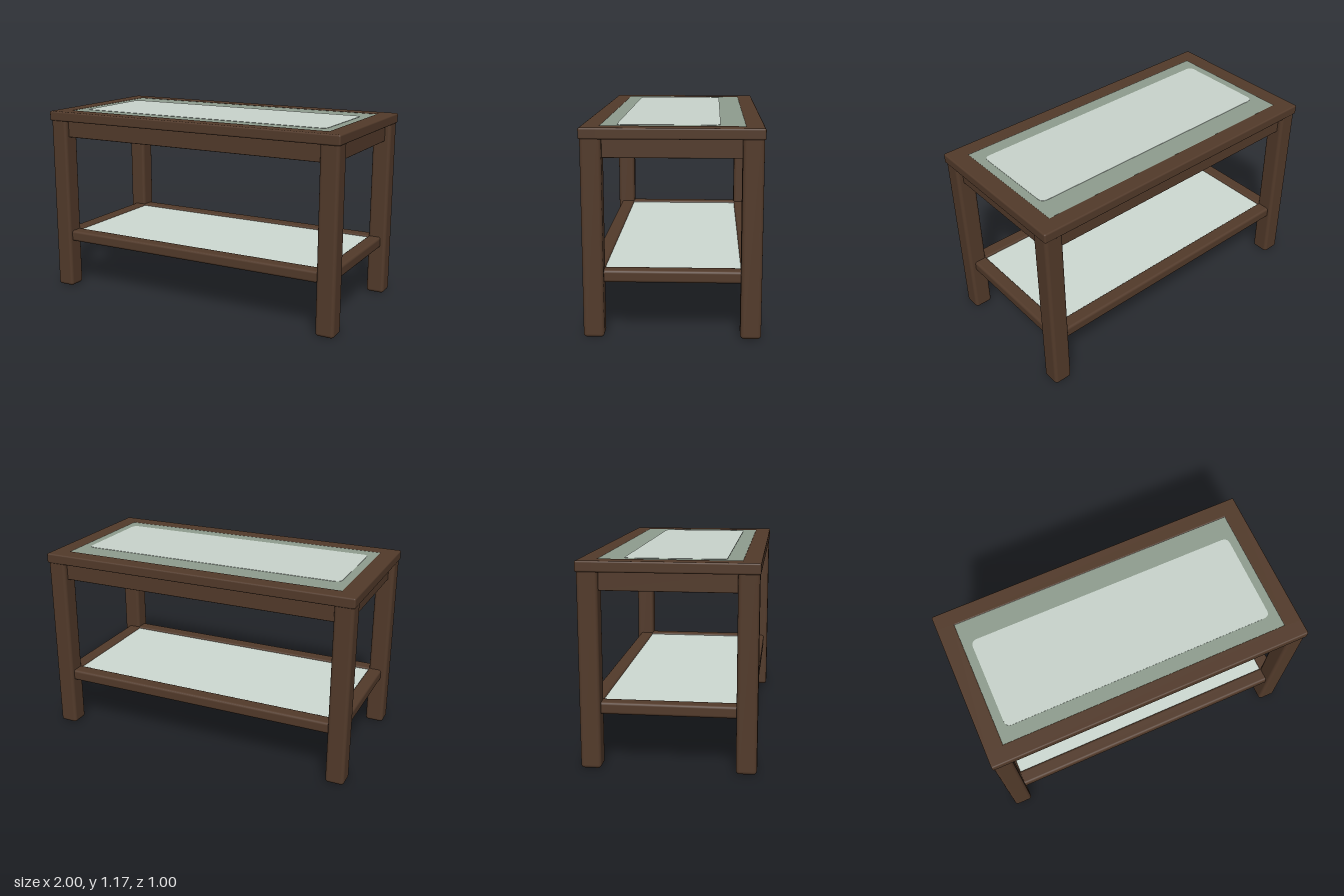
import * as THREE from 'three';
import { RoundedBoxGeometry } from 'three/addons/geometries/RoundedBoxGeometry.js';

const material = (name, color) => {
  const m = new THREE.MeshStandardMaterial({ color });
  m.name = name;
  return m;
};

// Thin horizontal sheet with rounded corners, standing on its own y = 0
function sheet(w, d, r, t) {
  const x = w / 2, z = d / 2;
  const shape = new THREE.Shape();
  shape.moveTo(-x + r, -z);
  shape.lineTo(x - r, -z);
  shape.quadraticCurveTo(x, -z, x, -z + r);
  shape.lineTo(x, z - r);
  shape.quadraticCurveTo(x, z, x - r, z);
  shape.lineTo(-x + r, z);
  shape.quadraticCurveTo(-x, z, -x, z - r);
  shape.lineTo(-x, -z + r);
  shape.quadraticCurveTo(-x, -z, -x + r, -z);
  return new THREE.ExtrudeGeometry(shape,
    { depth: t, bevelEnabled: false, curveSegments: 5 }).rotateX(-Math.PI / 2);
}

export function createModel() {
  const table = new THREE.Group();
  table.name = 'glassTopTable';
  const wood = material('dark wood', 0x523a2a);
  const pale = material('pale glass', 0xc9d4cc);
  const green = material('green glass rim', 0x8f9d8f);
  const shelfGlass = material('shelf glass', 0xcfdbd3);

  const add = (name, geometry, mat, x, y, z) => {
    const mesh = new THREE.Mesh(geometry, mat);
    mesh.name = name;
    mesh.position.set(x, y, z);
    table.add(mesh);
  };
  const bar = (name, w, h, d, r, x, y, z) =>
    add(name, new RoundedBoxGeometry(w, h, d, 3, r), wood, x, y, z);

  for (const s of [-1, 1]) {
    // Top frame
    bar('longFrameBar', 2, 0.062, 0.105, 0.01, 0, 1.144, s * 0.4475);
    bar('endFrameBar', 0.11, 0.062, 0.84, 0.01, s * 0.945, 1.144, 0);
    // Aprons under the top
    bar('longApron', 1.8, 0.115, 0.045, 0.006, 0, 1.065, s * 0.44);
    bar('endApron', 0.045, 0.115, 0.8, 0.006, s * 0.935, 1.065, 0);
    // Rails around the shelf
    bar('longRail', 1.8, 0.07, 0.09, 0.016, 0, 0.345, s * 0.425);
    bar('endRail', 0.085, 0.07, 0.8, 0.016, s * 0.917, 0.345, 0);
    // Legs
    for (const x of [-1, 1])
      bar('leg', 0.116, 1.135, 0.116, 0.02, x * 0.936, 0.5675, s * 0.436);
  }

  // Tabletop glass: pale sheet, green rim on its face, pale centre
  add('tabletopGlass', sheet(1.8, 0.81, 0.01, 0.012), pale, 0, 1.153, 0);
  add('tabletopGlassRim', sheet(1.796, 0.806, 0.01, 0.007), green, 0, 1.165, 0);
  add('tabletopGlassCentre', sheet(1.68, 0.57, 0.04, 0.002), pale, 0, 1.172, 0.025);

  // Lower glass shelf
  add('shelfGlass', sheet(1.78, 0.78, 0.02, 0.012), shelfGlass, 0, 0.357, 0);

  return table;
}
